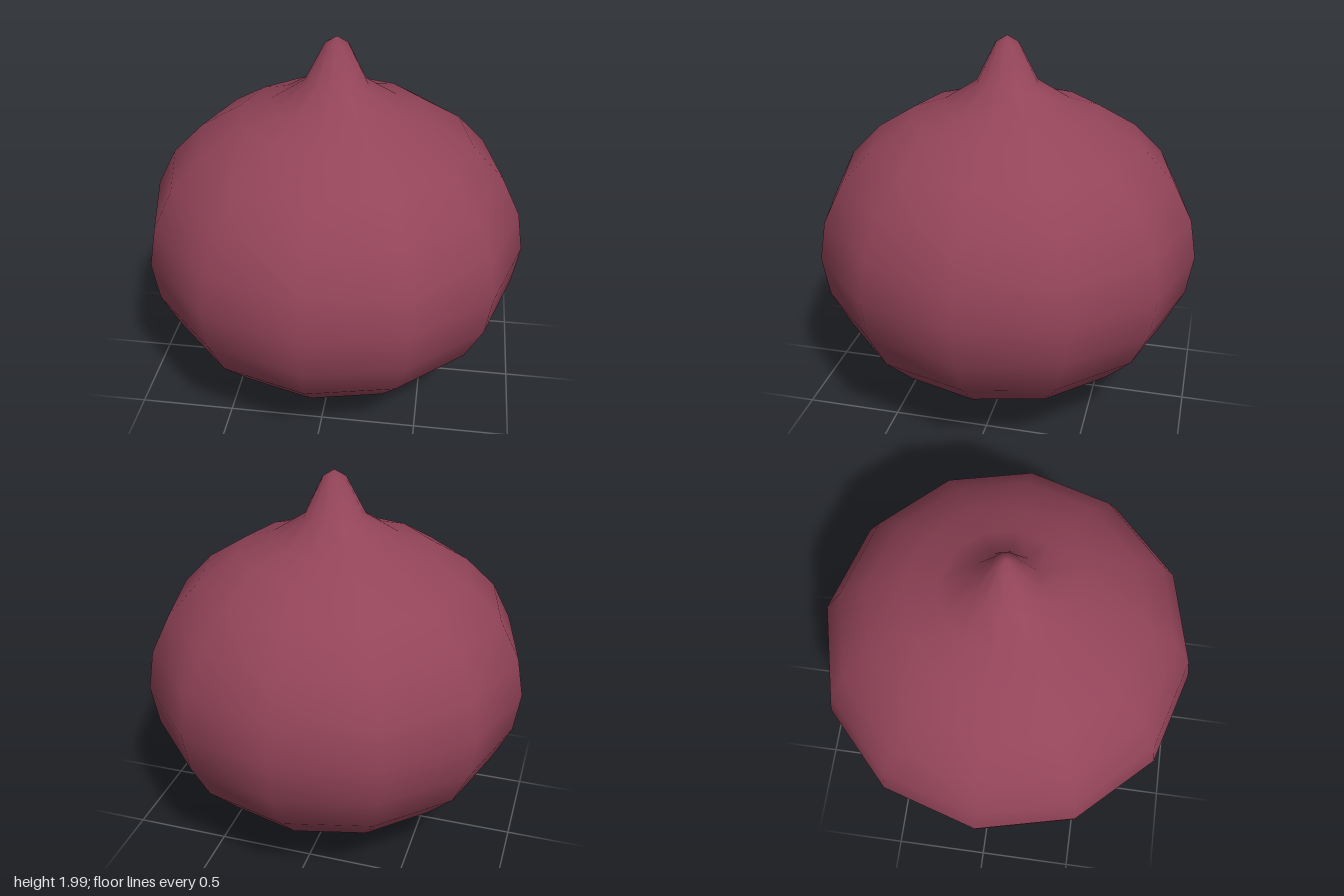
import * as THREE from 'three';
import { mergeVertices } from 'three/addons/utils/BufferGeometryUtils.js';

export function createModel() {
  const model = new THREE.Group();
  model.name = 'onion';
  const skin = new THREE.MeshStandardMaterial({ color: 0x934459 });
  skin.name = 'red onion skin';

  // Bulb profile from root base to stem tip: radius, height
  const profile = [
    [0, 0.005], [0.235, 0.038], [0.283, 0.09], [0.5, 0.19], [0.708, 0.32],
    [0.867, 0.485], [0.966, 0.685], [1, 0.895], [0.966, 1.1], [0.866, 1.3],
    [0.705, 1.465], [0.495, 1.595], [0.33, 1.65], [0.16, 1.762],
    [0.06, 1.963], [0, 2],
  ].map(([r, y]) => new THREE.Vector2(r, y));

  // Weld the seam and poles so the whole skin shades smoothly
  let geometry = new THREE.LatheGeometry(profile, 12);
  geometry.deleteAttribute('normal');
  geometry.deleteAttribute('uv');
  geometry = mergeVertices(geometry, 1e-4);

  // Slight natural twist and lean about the middle of the bulb
  geometry.rotateY(-0.025);
  geometry.translate(0, -0.895, 0);
  geometry.rotateZ(-0.012);
  geometry.translate(0, 0.895, 0);
  geometry.computeVertexNormals();

  const bulb = new THREE.Mesh(geometry, skin);
  bulb.name = 'bulb';
  model.add(bulb);
  return model;
}
